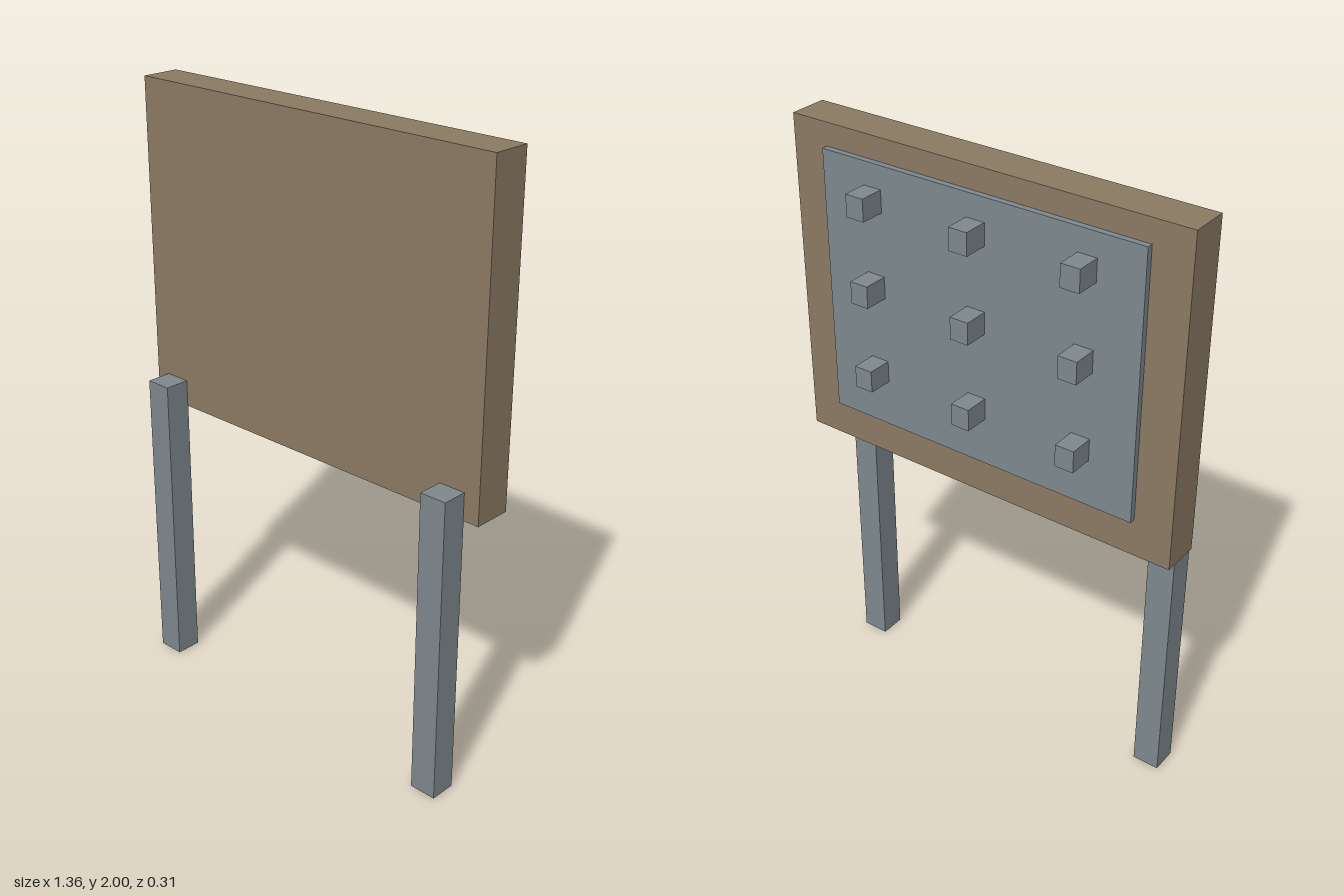
import * as THREE from 'three';

export function createModel() {
  const wood = new THREE.MeshStandardMaterial({ color: 0x8b7a63 });
  wood.name = 'brown wood';
  const metal = new THREE.MeshStandardMaterial({ color: 0x7e888e });
  metal.name = 'grey metal';

  const model = new THREE.Group();
  model.name = 'signBoard';

  // Box given by its centre in x and y, its size, and its z range
  function box(name, material, x, y, w, h, zBack, zFront) {
    const mesh = new THREE.Mesh(new THREE.BoxGeometry(w, h, zFront - zBack), material);
    mesh.position.set(x, y, (zBack + zFront) / 2);
    mesh.name = name;
    model.add(mesh);
  }

  // Main board
  box('board', wood, 0, 1.465, 1.36, 1.07, -0.056, 0.072);

  // Posts fixed to the front of the board
  box('rightPost', metal, -0.585, 0.51, 0.09, 1.02, 0.07, 0.157);
  box('leftPost', metal, 0.581, 0.51, 0.09, 1.02, 0.07, 0.157);

  // Plate on the back
  box('backPlate', metal, 0, 1.491, 1.108, 0.87, -0.076, -0.056);

  // Three by three grid of pegs on the plate
  for (const y of [1.248, 1.537, 1.815]) {
    for (const x of [-0.372, -0.002, 0.369]) {
      box('peg', metal, x, y, 0.063, 0.072, -0.157, -0.076);
    }
  }
  return model;
}
